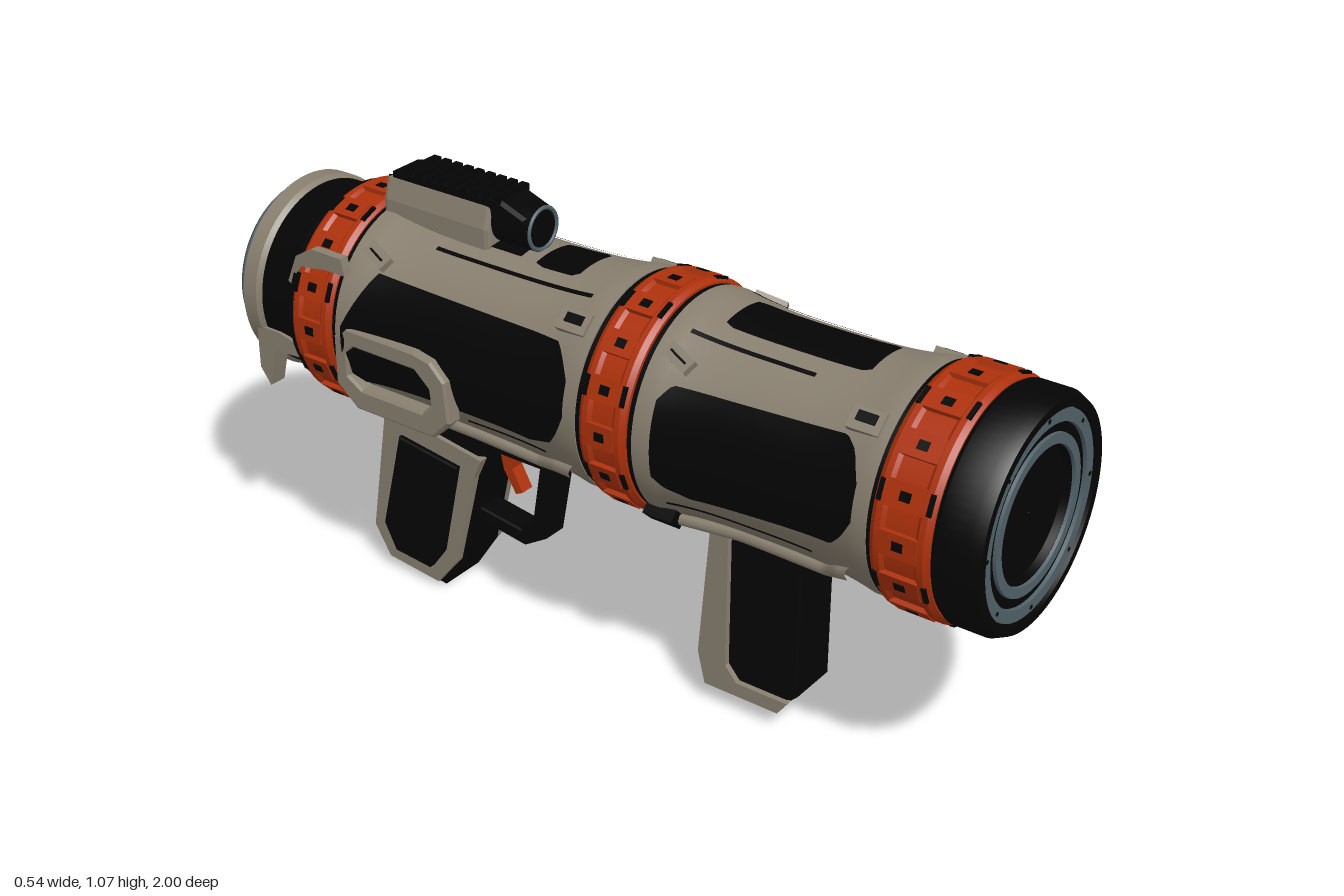
import * as THREE from 'three';
import { toCreasedNormals } from 'three/addons/utils/BufferGeometryUtils.js';

const AXIS = 0.715; // height of the barrel axis
const DEG = Math.PI / 180;

function material(name, color) {
  const m = new THREE.MeshStandardMaterial({ color });
  m.name = name;
  return m;
}

// waisted radius of the two barrel shells
function bodyR(z) {
  const [a, b] = z > 0.1 ? [0.18, 0.75] : [-0.655, 0.03];
  const t = (z - a) / (b - a);
  return 0.236 + 0.025 * Math.pow(Math.abs(2 * t - 1), 3);
}

export function createModel() {
  const model = new THREE.Group();
  model.name = 'shoulderLauncher';
  const beige = material('beige shell', 0x887f6f);
  const orange = material('burnt orange', 0xad310b);
  const black = material('black', 0x040404);
  const steel = material('blue grey steel', 0x506169);

  function add(name, geo, mat) {
    const m = new THREE.Mesh(geo, mat);
    m.name = name;
    model.add(m);
    return m;
  }

  // revolved part around the barrel axis, points are [radius, z]; rising z faces outward
  function turned(name, mat, pts) {
    const geo = new THREE.LatheGeometry(pts.map(([r, z]) => new THREE.Vector2(r, z)), 72);
    geo.rotateX(Math.PI / 2);
    geo.translate(0, AXIS, 0);
    return add(name, toCreasedNormals(geo, 0.5), mat);
  }

  // side profile in [z, y], extruded from x0 to x1
  function side(name, mat, pts, x0, x1, hole, bevel = 0) {
    const shape = new THREE.Shape(pts.map(([z, y]) => new THREE.Vector2(z, y)));
    if (hole) shape.holes.push(new THREE.Path(hole.map(([z, y]) => new THREE.Vector2(z, y))));
    const geo = new THREE.ExtrudeGeometry(shape, {
      depth: x1 - x0 - 2 * bevel, bevelEnabled: bevel > 0, bevelSize: bevel,
      bevelThickness: bevel, bevelOffset: -bevel, bevelSegments: 1,
    });
    geo.rotateY(-Math.PI / 2);
    geo.translate(x1 - bevel, 0, 0);
    return add(name, geo, mat);
  }
  function sidePair(name, mat, pts, x0, x1, hole, bevel) {
    side(name, mat, pts, x0, x1, hole, bevel);
    side(name, mat, pts, -x1, -x0, hole, bevel);
  }

  // thin skin on the shell; rows are [z, angle0, angle1] with rising z, angles from +x
  function skin(name, mat, rows) {
    const geo = new THREE.PlaneGeometry(1, 1, 12, 48);
    const p = geo.attributes.position;
    const z0 = rows[0][0], z1 = rows[rows.length - 1][0];
    for (let i = 0; i < p.count; i++) {
      const z = z0 + (z1 - z0) * (p.getY(i) + 0.5);
      let k = 0;
      while (k < rows.length - 2 && z > rows[k + 1][0]) k++;
      const [za, a0, a1] = rows[k], [zb, b0, b1] = rows[k + 1];
      const t = (z - za) / (zb - za);
      const lo = a0 + (b0 - a0) * t, hi = a1 + (b1 - a1) * t;
      const a = (lo + (hi - lo) * (p.getX(i) + 0.5)) * DEG;
      const r = bodyR(z) + 0.003;
      p.setXYZ(i, r * Math.cos(a), AXIS + r * Math.sin(a), z);
    }
    geo.computeVertexNormals();
    return add(name, geo, mat);
  }
  function skinPair(name, mat, rows) {
    skin(name, mat, rows);
    skin(name, mat, rows.map(([z, a, b]) => [z, 180 - b, 180 - a]));
  }

  // box seated on the barrel: radial, tangential and lengthwise size
  function stud(name, mat, size, angle, r, z, yaw = 0) {
    const geo = new THREE.BoxGeometry(...size);
    geo.rotateX(yaw);
    const m = add(name, geo, mat);
    m.position.set(r * Math.cos(angle * DEG), AXIS + r * Math.sin(angle * DEG), z);
    m.rotation.z = angle * DEG;
    return m;
  }
  function studPair(name, mat, size, angle, r, z, yaw = 0) {
    stud(name, mat, size, angle, r, z, yaw);
    stud(name, mat, size, 180 - angle, r, z, -yaw);
  }

  // barrel shells
  for (const [a, b] of [[-0.655, 0.03], [0.18, 0.75]]) {
    const pts = [[0.2, a]];
    for (let i = 0; i <= 24; i++) {
      const z = a + (b - a) * i / 24;
      pts.push([bodyR(z) - (i % 24 ? 0 : 0.006), z]);
    }
    pts.push([0.2, b]);
    turned('barrelShell', beige, pts);
  }

  // muzzle with shallow bore
  turned('muzzle', black, [[0.25, 0.89], [0.26, 0.905], [0.26, 0.975], [0.248, 1], [0.228, 1], [0.225, 0.985],
    [0.175, 0.985], [0.147, 0.985], [0.144, 0.968], [0.001, 0.968]]);
  turned('muzzleOuterRing', steel, [[0.226, 0.98], [0.224, 0.993], [0.196, 0.993], [0.194, 0.98]]);
  turned('muzzleInnerRing', steel, [[0.174, 0.98], [0.172, 0.992], [0.15, 0.992], [0.145, 0.968]]);
  for (let i = 0; i < 8; i++) stud('muzzleScrew', black, [0.008, 0.008, 0.006], i * 45, 0.212, 0.992);

  // rear cap
  turned('rearNeck', black, [[0.22, -0.94], [0.226, -0.92], [0.226, -0.84], [0.235, -0.82], [0.235, -0.78]]);
  turned('rearCollar', beige, [[0.2, -0.98], [0.22, -0.98], [0.235, -0.965], [0.235, -0.925], [0.225, -0.912], [0.2, -0.912]]);
  turned('rearRing', steel, [[0.184, -0.98], [0.19, -1], [0.206, -1], [0.215, -0.988], [0.215, -0.97]]);
  turned('rearDisc', black, [[0.001, -0.982], [0.188, -0.982]]);

  // orange bands with lugs and dark inlays
  for (const [a, b] of [[-0.785, -0.665], [0.045, 0.165], [0.76, 0.895]]) {
    const mid = (a + b) / 2, w = b - a;
    turned('band', orange, [[0.2, a], [0.257, a], [0.265, a + 0.012], [0.265, a + 0.025], [0.258, a + 0.033],
      [0.258, b - 0.033], [0.265, b - 0.025], [0.265, b - 0.012], [0.257, b], [0.2, b]]);
    for (let i = 0; i < 16; i++) {
      const ang = i * 22.5;
      stud('bandLug', orange, [0.012, 0.054, w - 0.05], ang, 0.261, mid);
      stud('bandInlay', black, [0.006, 0.02, 0.024], ang, 0.266, mid);
      if (i % 2) for (const z of [a + 0.012, b - 0.012]) stud('bandNotch', black, [0.006, 0.045, 0.01], ang, 0.264, z);
    }
  }
  for (const z of [-0.795, -0.66, 0.037, 0.173, 0.755]) {
    turned('seam', black, [[0.2, z - 0.006], [0.254, z - 0.005], [0.254, z + 0.005], [0.2, z + 0.006]]);
  }

  // dark side and top panels
  skinPair('sidePanel', black, [[0.225, -14, 26], [0.25, -20, 35], [0.31, -24, 36], [0.66, -16, 40], [0.69, -8, 34], [0.715, 2, 20]]);
  skinPair('sidePanel', black, [[-0.635, -24, 8], [-0.57, -24, 40], [-0.12, -24, 38], [-0.05, -18, 37], [-0.02, -8, 28], [0.0, 2, 20]]);
  skin('topPanel', black, [[0.28, 76, 104], [0.3, 74, 106], [0.61, 74, 106], [0.63, 76, 104]]);
  skin('topPanel', black, [[-0.65, 77, 103], [-0.27, 77, 103]]);
  skin('topPort', black, [[-0.225, 76, 104], [-0.2, 74, 106], [-0.12, 74, 106], [-0.105, 77, 103]]);
  skinPair('topSlit', black, [[0.23, 62, 64.5], [0.53, 62, 64.5]]);
  skinPair('topSlit', black, [[-0.47, 63, 65.5], [-0.03, 63, 65.5]]);
  skinPair('lowerSlit', black, [[0.24, -34, -32], [0.6, -32, -30]]);
  skinPair('lowerSlit', black, [[-0.31, -32, -30], [-0.08, -30, -28]]);
  for (const [z, yaw] of [[0.24, 0.4], [-0.59, 0.4]]) {
    studPair('shellLug', beige, [0.02, 0.035, 0.075], 48, bodyR(z) + 0.001, z, yaw);
    studPair('shellLugSlot', black, [0.004, 0.005, 0.05], 48, bodyR(z) + 0.011, z, yaw);
  }
  for (const z of [0.69, -0.03]) {
    studPair('shellLug', beige, [0.022, 0.05, 0.075], 48, bodyR(z) + 0.001, z);
    studPair('shellLugSlot', black, [0.006, 0.022, 0.045], 49, bodyR(z) + 0.012, z);
  }

  // lower side rails
  function rail(pts) {
    for (const s of [1, -1]) {
      const path = new THREE.CatmullRomCurve3(pts.map(([z, a]) => new THREE.Vector3(
        s * (bodyR(z) + 0.006) * Math.cos(a * DEG), AXIS + (bodyR(z) + 0.006) * Math.sin(a * DEG), z)), false, 'catmullrom', 0.2);
      add('lowerRail', new THREE.TubeGeometry(path, 28, 0.015, 8), beige);
    }
  }
  rail([[0.7, -32], [0.66, -38], [0.61, -48], [0.4, -50], [0.22, -50]]);
  rail([[0.0, -33], [-0.06, -38], [-0.13, -46], [-0.3, -44], [-0.4, -42]]);
  studPair('railBlock', black, [0.03, 0.045, 0.075], -47, bodyR(0.21) + 0.008, 0.21);
  for (const z of [0.35, 0.53]) studPair('railBlock', black, [0.026, 0.04, 0.075], -55, bodyR(z) + 0.004, z);

  // side carry loops and rear brackets
  sidePair('sideLoop', beige, [[-0.37, 0.74], [-0.33, 0.7], [-0.32, 0.6], [-0.37, 0.55], [-0.6, 0.55], [-0.66, 0.6], [-0.66, 0.72], [-0.62, 0.75], [-0.42, 0.75]],
    0.215, 0.258, [[-0.42, 0.705], [-0.6, 0.705], [-0.62, 0.685], [-0.62, 0.63], [-0.58, 0.605], [-0.4, 0.605], [-0.375, 0.63], [-0.38, 0.67]], 0.006);
  sidePair('bandBracket', beige, [[-0.64, 0.86], [-0.65, 0.9], [-0.74, 0.9], [-0.79, 0.87], [-0.82, 0.8], [-0.8, 0.79], [-0.76, 0.85], [-0.7, 0.86]], 0.205, 0.228);
  sidePair('rearBracket', beige, [[-0.8, 0.605], [-0.8, 0.635], [-0.87, 0.65], [-0.94, 0.65], [-0.94, 0.54], [-0.91, 0.5], [-0.885, 0.6]], 0.18, 0.224);

  // front grip
  side('frontGripCore', black, [[0.49, 0.49], [0.275, 0.49], [0.245, 0.13], [0.265, 0.06], [0.45, 0.06], [0.49, 0.1]], -0.066, 0.066, null, 0.006);
  sidePair('frontGripFrame', beige, [[0.31, 0.49], [0.265, 0.49], [0.235, 0.13], [0.255, 0.05], [0.45, 0.05], [0.475, 0.085], [0.34, 0.085], [0.31, 0.12]], 0.06, 0.08);
  for (let i = 0; i < 14; i++) for (const s of [1, -1]) {
    add('frontGripRib', new THREE.BoxGeometry(0.008, 0.014, 0.145), black).position.set(s * 0.065, 0.12 + i * 0.0245, 0.394);
  }

  // rear grip
  side('rearGripCore', black, [[-0.37, 0.46], [-0.68, 0.47], [-0.74, 0.11], [-0.7, 0.02], [-0.53, 0.002], [-0.465, 0.1], [-0.4, 0.39]], -0.07, 0.07, null, 0.01);
  const gripPanel = [[-0.45, 0.37], [-0.635, 0.395], [-0.7, 0.13], [-0.665, 0.06], [-0.555, 0.05], [-0.505, 0.12]];
  sidePair('rearGripFrame', beige, [[-0.385, 0.405], [-0.68, 0.45], [-0.735, 0.11], [-0.69, 0.035], [-0.535, 0.018], [-0.47, 0.1], [-0.41, 0.35]], 0.06, 0.082, gripPanel);
  sidePair('rearGripPanel', black, gripPanel.map(([z, y]) => [-0.59 + (z + 0.59) * 0.98, 0.22 + (y - 0.22) * 0.98]), 0.06, 0.091, null, 0.004);

  // trigger and guard
  side('triggerGuard', black, [[-0.2, 0.42], [-0.22, 0.45], [-0.47, 0.46], [-0.47, 0.21], [-0.3, 0.185], [-0.235, 0.225]], -0.035, 0.035,
    [[-0.25, 0.408], [-0.39, 0.408], [-0.43, 0.3], [-0.43, 0.242], [-0.31, 0.225], [-0.275, 0.25]], 0.004);
  side('trigger', orange, [[-0.33, 0.43], [-0.385, 0.43], [-0.37, 0.36], [-0.335, 0.305], [-0.315, 0.315], [-0.345, 0.37]], -0.018, 0.018);

  // top sight: tapered saddle, ribbed body and round lens
  const saddle = new THREE.Shape([[-0.066, 0.94], [0.066, 0.94], [0.066, 0.99], [0.052, 1.04], [-0.052, 1.04], [-0.066, 0.99]]
    .map(([x, y]) => new THREE.Vector2(x, y)));
  add('sightSaddle', new THREE.ExtrudeGeometry(saddle, {
    depth: 0.284, bevelSize: 0.012, bevelThickness: 0.012, bevelOffset: -0.012, bevelSegments: 2,
  }), beige).position.z = -0.65;
  side('sightBody', black, [[-0.26, 0.985], [-0.26, 1.035], [-0.34, 1.064], [-0.6, 1.064], [-0.65, 1.05], [-0.65, 0.985]], -0.05, 0.05, null, 0.008);
  for (let i = 0; i < 9; i++) {
    add('sightRib', new THREE.BoxGeometry(0.104, 0.024, 0.02), black).position.set(0, 1.058, -0.34 - i * 0.032);
  }
  const sightBarrel = new THREE.CylinderGeometry(0.053, 0.053, 0.12, 28);
  sightBarrel.rotateX(Math.PI / 2);
  add('sightBarrel', sightBarrel, black).position.set(0, 1.0, -0.312);
  add('sightRing', new THREE.TorusGeometry(0.048, 0.005, 8, 32), steel).position.set(0, 1.0, -0.252);

  return model;
}
